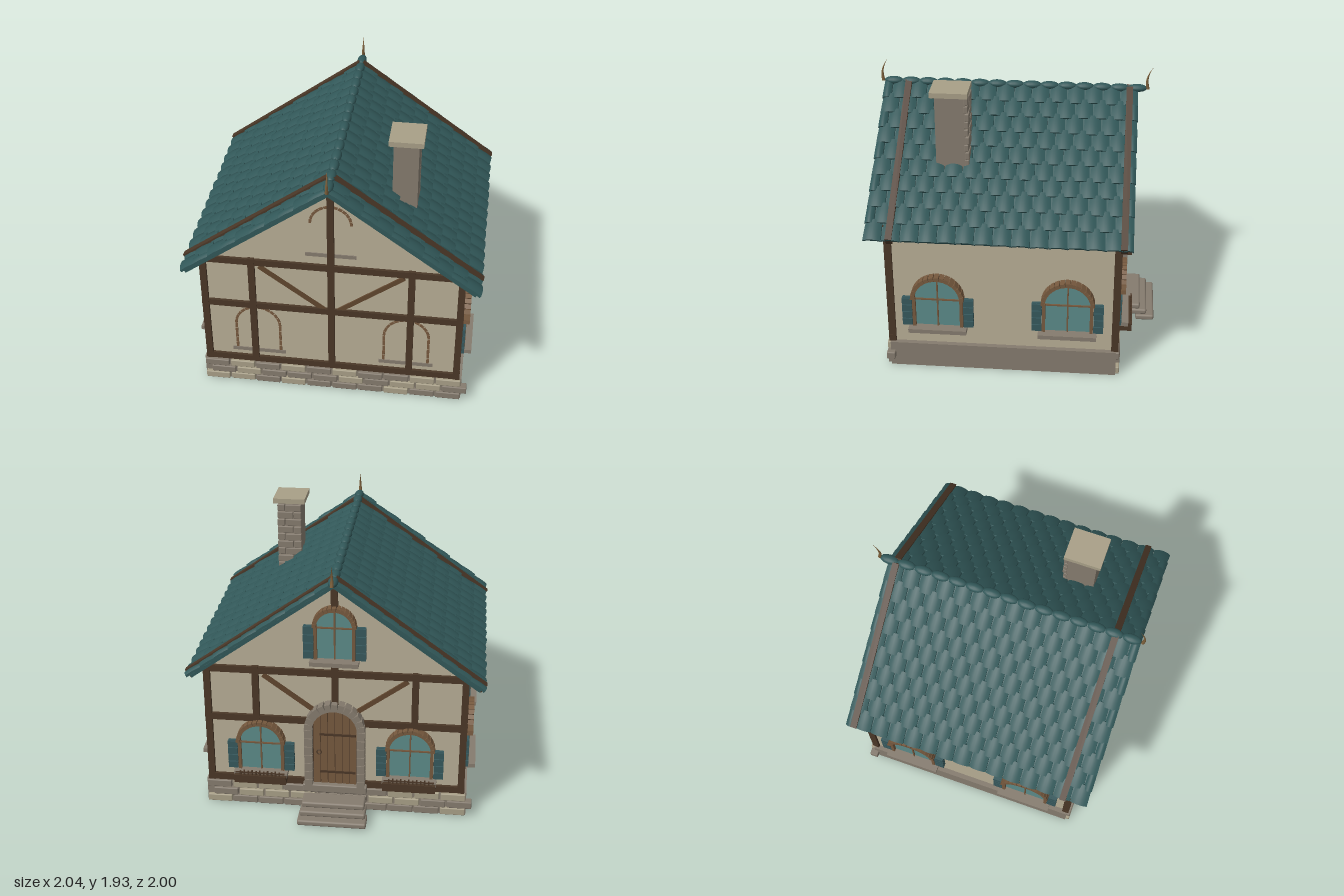
import * as THREE from 'three';
import { mergeGeometries } from 'three/addons/utils/BufferGeometryUtils.js';
import { RoundedBoxGeometry } from 'three/addons/geometries/RoundedBoxGeometry.js';

const mat = (name, color) => Object.assign(new THREE.MeshStandardMaterial({ color }), { name });
const M = {
  plaster: mat('plaster', 0xb7ad95),
  paleStone: mat('paleStone', 0xa89f87),
  stone: mat('stone', 0x857b6e),
  timber: mat('darkTimber', 0x4a3727),
  brace: mat('braceWood', 0x60462e),
  wood: mat('warmWood', 0x76593e),
  tile: mat('tealTile', 0x315758),
  glass: mat('glass', 0x5b8a88),
  shutter: mat('shutterPaint', 0x36585c),
  horn: mat('bronze', 0x7c5f3a),
};

let seed = 7;
const rnd = () => (seed = (seed * 16807) % 2147483647) / 2147483647;

function add(parent, name, geo, material, x = 0, y = 0, z = 0) {
  const m = new THREE.Mesh(geo, material);
  m.name = name;
  m.position.set(x, y, z);
  parent.add(m);
  return m;
}
const box = (parent, name, material, w, h, d, x, y, z) =>
  add(parent, name, new THREE.BoxGeometry(w, h, d), material, x, y, z);
function group(parent, name, x = 0, y = 0, z = 0, ry = 0) {
  const g = new THREE.Group();
  g.name = name;
  g.position.set(x, y, z);
  g.rotation.y = ry;
  parent.add(g);
  return g;
}

// Round-topped panel standing on y = 0
function archPanel(r, h, depth) {
  const s = new THREE.Shape();
  s.moveTo(-r, 0).lineTo(r, 0).lineTo(r, h).absarc(0, h, r, 0, Math.PI, false).lineTo(-r, 0);
  return new THREE.ExtrudeGeometry(s, { depth, bevelEnabled: false, curveSegments: 16 });
}

// Blocks set around a semicircle, then down both jambs
function archBlocks(r, h, thick, depth, n, jambs, fill = 0.92) {
  const parts = [];
  for (let i = 0; i < n; i++) {
    const a = ((i + 0.5) / n) * Math.PI;
    const g = new THREE.BoxGeometry(thick, (Math.PI * r / n) * fill, depth);
    parts.push(g.rotateZ(a).translate(Math.cos(a) * r, h + Math.sin(a) * r, depth / 2));
  }
  for (const s of [-1, 1]) for (let i = 0; i < jambs; i++) {
    const g = new THREE.BoxGeometry(thick, (h / jambs) * fill, depth);
    parts.push(g.translate(s * r, (i + 0.5) * h / jambs, depth / 2));
  }
  return mergeGeometries(parts);
}

// Arched window facing local +z, sill top at y = 0
function buildWindow(parent, name, r, h, x, y, z, ry, planter) {
  const w = group(parent, name, x, y, z, ry);
  add(w, 'pane', archPanel(r, h, 0.015), M.glass);
  add(w, 'archBricks', archBlocks(r + 0.014, h, 0.028, 0.062, 15, 0), M.wood);
  for (const s of [-1, 1]) {
    box(w, 'jamb', M.wood, 0.022, h, 0.04, s * (r + 0.008), h / 2, 0.02);
    const sh = group(w, 'shutter', s * (r + 0.056), 0, 0);
    box(sh, 'shutterBoard', M.shutter, 0.055, h, 0.022, 0, h / 2, 0.015);
    for (let i = 0; i < 4; i++)
      box(sh, 'shutterSlat', M.shutter, 0.068, h / 4 - 0.007, 0.036, 0, (i + 0.5) * h / 4, 0.02);
  }
  box(w, 'mullion', M.wood, 0.01, h + r, 0.012, 0, (h + r) / 2, 0.02);
  box(w, 'transom', M.wood, 2 * r, 0.01, 0.012, 0, h * 0.95, 0.02);
  box(w, 'sill', M.stone, 2 * r + 0.09, 0.03, 0.095, 0, -0.015, 0.04);
  if (planter) {
    box(w, 'planter', M.timber, 2 * r + 0.08, 0.06, 0.105, 0, -0.04, 0.06);
    for (let i = 0; i < 11; i++)
      box(w, 'planterPicket', M.timber, 0.01, 0.03 + 0.015 * (i % 2), 0.01, (i - 5) * r / 5.2, 0.008, 0.105);
    box(w, 'planterRail', M.timber, 2 * r + 0.06, 0.008, 0.008, 0, 0.012, 0.105);
  }
}

// Timber framing of one gable, facing local +z
function buildFraming(parent, name, z, ry, withDoor) {
  const f = group(parent, name, 0, 0, z, ry);
  for (const y of [0.21, 0.7, 1.075]) box(f, 'rail', M.timber, 1.81, 0.048, 0.045, 0, y, 0);
  for (const s of [-1, 1]) {
    box(f, 'cornerPost', M.timber, 0.046, 0.92, 0.05, s * 0.88, 0.645, 0);
    const low = withDoor ? 0.7 : 0.2;
    box(f, 'post', M.timber, 0.046, 1.105 - low, 0.05, s * 0.545, (1.105 + low) / 2, 0);
    const b = box(f, 'brace', M.brace, 0.55, 0.032, 0.03, s * 0.27, 0.875, 0);
    b.rotation.z = s * 0.635;
  }
  const spans = withDoor ? [[0.84, 1.17], [1.56, 1.7]] : [[0.19, 1.7]];
  for (const [a, b] of spans) box(f, 'kingPost', M.timber, 0.046, b - a, 0.054, 0, (a + b) / 2, 0);
}

// Three courses of staggered stones along a foundation face
function buildStones(parent, name, z, ry) {
  const g = group(parent, name, 0, 0, z, ry);
  for (let row = 0; row < 3; row++) {
    const shift = row === 1 ? 0.045 : 0;
    for (let i = 0; i < 10; i++) {
      const geo = new RoundedBoxGeometry(0.172, 0.053, 0.06, 1, 0.006);
      add(g, 'foundationStone', geo, rnd() < 0.5 ? M.paleStone : M.stone,
        -0.828 + i * 0.184 + shift, 0.034 + row * 0.06, -0.018 + rnd() * 0.008);
    }
  }
}

const ANGLE = Math.PI / 5, RIDGE = 1.75, SLOPE = 1.215;
// Moves a geometry from slope space (x down, y out, z along) onto a roof side
function onSlope(geo, side) {
  geo.rotateZ(-ANGLE);
  if (side < 0) geo.rotateY(Math.PI);
  return geo.translate(0, RIDGE, 0);
}

// Domed roof tile, lower end lifted over the next course
function tileGeometry(width, length) {
  const g = new THREE.BoxGeometry(length, 0.016, width, 3, 1, 6);
  const p = g.attributes.position;
  for (let i = 0; i < p.count; i++) {
    const t = p.getX(i) / length + 0.5, v = (2 * p.getZ(i)) / width;
    p.setY(i, p.getY(i) + 0.016 * (1 - v * v) + 0.014 * t - 0.007 * t ** 6);
    p.setZ(i, p.getZ(i) * (0.9 + 0.1 * t));
  }
  g.computeVertexNormals();
  return g;
}

function buildRoof(parent) {
  const roof = group(parent, 'roof');
  const rows = 10, pitch = SLOPE / rows, wide = 0.123, z0 = -0.81, z1 = 0.975;
  for (const s of [1, -1]) {
    const deck = new THREE.BoxGeometry(SLOPE - 0.01, 0.02, 1.75).translate(SLOPE / 2, -0.008, s * 0.0825);
    add(roof, 'roofDeck', onSlope(deck, s), M.tile);
    const tiles = [];
    for (let r = 0; r < rows; r++) {
      for (let a = z0 - (r % 2) * wide / 2; a < z1 - 0.02; a += wide) {
        const lo = Math.max(a, z0), hi = Math.min(a + wide, z1 + (r % 2) * 0.015);
        const g = tileGeometry((hi - lo) * 0.985, pitch * 1.25);
        tiles.push(onSlope(g.translate((r + 0.42) * pitch + rnd() * 0.008, 0.008, s * (lo + hi) / 2), s));
      }
    }
    add(roof, 'roofTiles', mergeGeometries(tiles), M.tile);
    for (const z of [0.8, -0.748]) {
      const beam = new THREE.BoxGeometry(SLOPE + 0.02, 0.068, 0.045).translate(SLOPE / 2, 0.012, s * z);
      add(roof, 'vergeBeam', onSlope(beam, s), M.timber);
    }
  }
  // Ridge caps
  for (let i = 0; i < 15; i++) {
    const cap = add(roof, 'ridgeCap', new THREE.SphereGeometry(1, 12, 8), M.tile, 0, 1.776, -0.8 + i * 0.122);
    cap.scale.set(0.034, 0.027, 0.068);
  }
  // Curved horn finials
  for (const z of [0.983, -0.872]) {
    const g = new THREE.ConeGeometry(0.013, 0.16, 8, 8).translate(0, 0.08, 0);
    const p = g.attributes.position;
    for (let i = 0; i < p.count; i++) {
      const t = p.getY(i) / 0.16;
      p.setZ(i, p.getZ(i) + 0.012 * Math.sin(Math.PI * t) - 0.033 * t * t);
    }
    g.computeVertexNormals();
    add(roof, 'finial', g, M.horn, 0, 1.772, z);
  }
}

function buildChimney(parent) {
  const c = group(parent, 'chimney', 0.455, 0, 0.437);
  box(c, 'chimneyShaft', M.stone, 0.168, 0.53, 0.205, 0, 1.63, 0);
  box(c, 'chimneyCap', M.paleStone, 0.23, 0.036, 0.255, 0, 1.908, 0.005);
  for (let r = 0; r < 9; r++) {
    const split = r % 2 ? -0.03 : 0.03;
    for (const [a, b] of [[-0.087, split - 0.003], [split + 0.003, 0.087]])
      add(c, 'chimneyStone', new RoundedBoxGeometry(b - a, 0.05, 0.03, 1, 0.005), M.stone,
        (a + b) / 2, 1.408 + r * 0.056, -0.104 - rnd() * 0.008);
  }
}

function buildDoor(parent) {
  const d = group(parent, 'door', 0, 0.19, -0.715, Math.PI);
  const r = 0.155, h = 0.465;
  add(d, 'doorBacking', archPanel(r, h, 0.024), M.timber);
  for (let i = 0; i < 6; i++) {
    const x = (i - 2.5) * 0.05, top = h + Math.sqrt(r * r - x * x);
    box(d, 'doorPlank', M.wood, 0.046, top, 0.02, x, top / 2, 0.022);
  }
  add(d, 'doorStones', archBlocks(r + 0.027, h, 0.056, 0.07, 13, 7), M.stone);
  for (const y of [0.12, 0.42]) box(d, 'hingeStrap', M.timber, 0.25, 0.016, 0.008, 0.02, y, 0.035);
  add(d, 'doorRing', new THREE.TorusGeometry(0.016, 0.004, 6, 12), M.timber, -0.11, 0.28, 0.04);
  add(d, 'threshold', new RoundedBoxGeometry(0.45, 0.06, 0.09, 1, 0.008), M.stone, 0, -0.005, 0.025);
  // Steps
  [[0.115, -0.825, 0.44], [0.075, -0.875, 0.46], [0.033, -0.93, 0.48]].forEach(([y, z, w]) =>
    add(parent, 'step', new RoundedBoxGeometry(w, 0.042, 0.135, 2, 0.014), M.stone, 0, y, z));
}

export function createModel() {
  const house = new THREE.Group();
  house.name = 'cottage';

  // Foundation and walls
  box(house, 'foundation', M.stone, 1.84, 0.185, 1.57, 0, 0.0925, 0.06);
  buildStones(house, 'frontFoundationStones', 0.853, 0);
  buildStones(house, 'backFoundationStones', -0.733, Math.PI);
  const s = new THREE.Shape();
  s.moveTo(-0.885, 0.18).lineTo(0.885, 0.18).lineTo(0.885, 1.075).lineTo(0, 1.715).lineTo(-0.885, 1.075);
  add(house, 'walls', new THREE.ExtrudeGeometry(s, { depth: 1.55, bevelEnabled: false }), M.plaster, 0, 0, -0.715);
  buildFraming(house, 'frontFraming', 0.832, 0, false);
  buildFraming(house, 'backFraming', -0.715, Math.PI, true);

  // Side and back windows
  for (const side of [-1, 1]) {
    for (const z of [0.505, -0.385])
      buildWindow(house, 'sideWindow', 0.155, 0.22, side * 0.885, 0.337, z, side * Math.PI / 2, false);
    buildWindow(house, 'backWindow', 0.143, 0.22, side * 0.52, 0.297, -0.715, Math.PI, true);
  }
  buildWindow(house, 'atticWindow', 0.12, 0.24, 0, 1.19, -0.715, Math.PI, false);

  // Shallow arch outlines on the plain gable
  for (const [x, y, r, h, jambs] of [[-0.52, 0.297, 0.155, 0.22, 5], [0.52, 0.297, 0.155, 0.22, 5], [0, 1.19, 0.137, 0.24, 0]]) {
    const o = group(house, 'archOutline', x, y, 0.834);
    add(o, 'outlineBricks', archBlocks(r, h, 0.018, 0.006, 13, jambs, 0.85), M.wood);
    box(o, 'outlineSill', M.stone, 2 * r + 0.07, 0.028, 0.008, 0, -0.014, 0.003);
  }

  buildDoor(house);
  buildRoof(house);
  buildChimney(house);
  return house;
}
